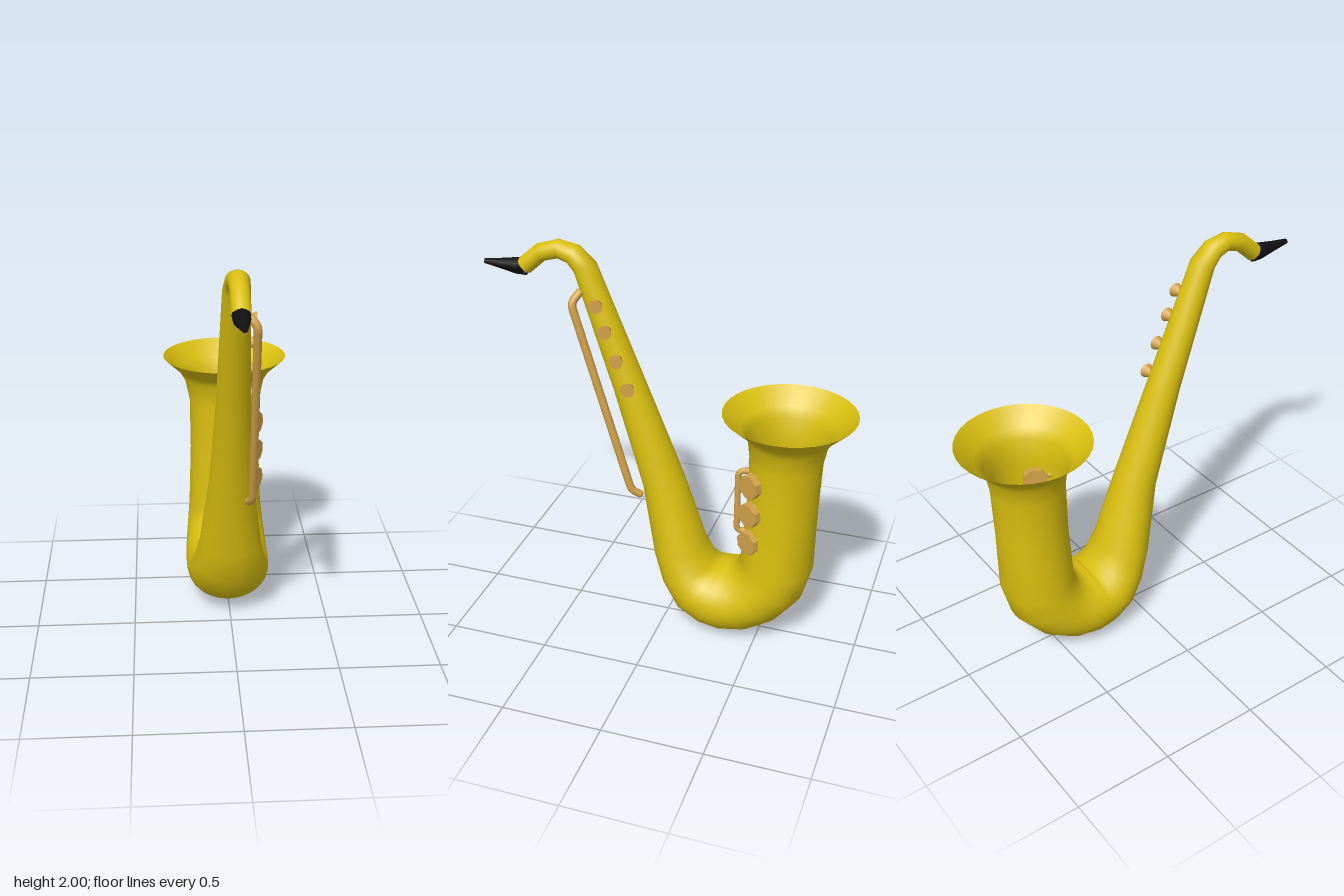
import * as THREE from 'three';

const material = (name, color, side = THREE.FrontSide) =>
  Object.assign(new THREE.MeshStandardMaterial({ color, side }), { name });

// Skin a row of rings [z, y, radius in plane, radius in x] lying along the x = 0 plane.
function sweep(rings, sides) {
  const pos = [], index = [];
  rings.forEach(([z, y, r, rx = r], i) => {
    const a = rings[Math.max(i - 1, 0)], b = rings[Math.min(i + 1, rings.length - 1)];
    const len = Math.hypot(b[0] - a[0], b[1] - a[1]);
    const tz = (b[0] - a[0]) / len, ty = (b[1] - a[1]) / len;
    for (let j = 0; j < sides; j++) {
      const t = (j / sides) * Math.PI * 2, s = r * Math.sin(t);
      pos.push(rx * Math.cos(t), y + s * tz, z - s * ty);
      if (i < rings.length - 1) {
        const k = (j + 1) % sides, p = i * sides, q = p + sides;
        index.push(p + j, p + k, q + j, p + k, q + k, q + j);
      }
    }
  });
  const g = new THREE.BufferGeometry();
  g.setAttribute('position', new THREE.Float32BufferAttribute(pos, 3));
  g.setIndex(index);
  g.computeVertexNormals();
  return g;
}

export function createModel() {
  const model = new THREE.Group();
  model.name = 'saxophone';
  const brass = material('yellow brass', 0xd9bf0f, THREE.DoubleSide);
  const gold = material('warm gold', 0xd1a24a);
  const black = material('black', 0x111111, THREE.DoubleSide);

  const add = (name, geometry, mat, parent = model) => {
    const mesh = new THREE.Mesh(geometry, mat);
    mesh.name = name;
    parent.add(mesh);
    return mesh;
  };

  // Neck, bow and open bell as one tapering tube
  add('body', sweep([
    [0.72, 1.855, 0.044], [0.634, 1.93, 0.044], [0.544, 1.957, 0.046],
    [0.47, 1.939, 0.05, 0.056], [0.411, 1.88, 0.057, 0.064],
    [0.199, 1.302, 0.081, 0.083], [0.024, 0.798, 0.107, 0.112],
    [-0.066, 0.435, 0.135, 0.16], [-0.114, 0.308, 0.146, 0.185],
    [-0.175, 0.231, 0.166, 0.205], [-0.247, 0.199, 0.179, 0.215],
    [-0.316, 0.19, 0.183, 0.22], [-0.398, 0.204, 0.181, 0.22],
    [-0.483, 0.255, 0.18, 0.215], [-0.546, 0.337, 0.185, 0.205],
    [-0.576, 0.443, 0.183, 0.195], [-0.589, 0.76, 0.175, 0.184],
    [-0.597, 1.027, 0.178, 0.186], [-0.602, 1.14, 0.195, 0.21],
    [-0.605, 1.19, 0.235, 0.24], [-0.605, 1.27, 0.324],
  ], 32), brass);

  // Hollow mouthpiece
  add('mouthpiece', sweep([
    [0.715, 1.852, 0.046, 0.041], [0.765, 1.848, 0.04, 0.038],
    [0.85, 1.85, 0.024, 0.026], [0.93, 1.852, 0.012, 0.014],
  ], 12), black);

  // Bent rods
  const rod = (name, points, radius) => {
    const path = new THREE.CurvePath();
    const v = points.map((p) => new THREE.Vector3(...p));
    let from = v[0];
    // Straight runs joined by rounded corners
    for (let i = 1; i < v.length - 1; i++) {
      const near = (to) => v[i].clone().add(to.clone().sub(v[i]).setLength(
        Math.min(0.03, v[i].distanceTo(to) * 0.6)));
      const start = near(v[i - 1]), end = near(v[i + 1]);
      path.add(new THREE.LineCurve3(from, start));
      path.add(new THREE.QuadraticBezierCurve3(start, v[i], end));
      from = end;
    }
    path.add(new THREE.LineCurve3(from, v[v.length - 1]));
    const group = new THREE.Group();
    group.name = name;
    model.add(group);
    add(name + 'Bar', new THREE.TubeGeometry(path, 80, radius, 10), gold, group);
    for (const p of [v[0], v[v.length - 1]])
      add(name + 'End', new THREE.SphereGeometry(radius, 10, 8), gold, group).position.copy(p);
  };
  rod('neckRod', [
    [0.05, 1.77, 0.425], [0.093, 1.73, 0.452], [0.096, 0.765, 0.163], [0.08, 0.742, 0.125],
  ], 0.02);
  rod('bellRod', [
    [0.07, 0.97, -0.43], [0.085, 0.97, -0.383], [0.085, 0.63, -0.383], [0.07, 0.63, -0.43],
  ], 0.015);

  // Large faceted keys on the bell tube
  const up = new THREE.Vector3(0, 1, 0);
  const axis = new THREE.Vector3(0.86, 0, 0.5).normalize();
  for (const y of [0.936, 0.777, 0.618]) {
    const key = add('bellKey', new THREE.CylinderGeometry(0.062, 0.062, 0.075, 8).toNonIndexed(), gold);
    key.geometry.computeVertexNormals();
    key.position.set(0.172, y, -0.453).addScaledVector(axis, -0.0375);
    key.quaternion.setFromUnitVectors(up, axis);
  }

  // Small tapered keys down the neck
  [[1.727, 0.329], [1.605, 0.284], [1.464, 0.228], [1.324, 0.172]].forEach(([y, z], i) => {
    const key = add('neckKey', new THREE.CylinderGeometry(0.036, 0.012, 0.055, 12), gold);
    key.position.set(0.07 + i * 0.005, y, z);
    key.rotation.z = -Math.PI / 2;
  });

  return model;
}
